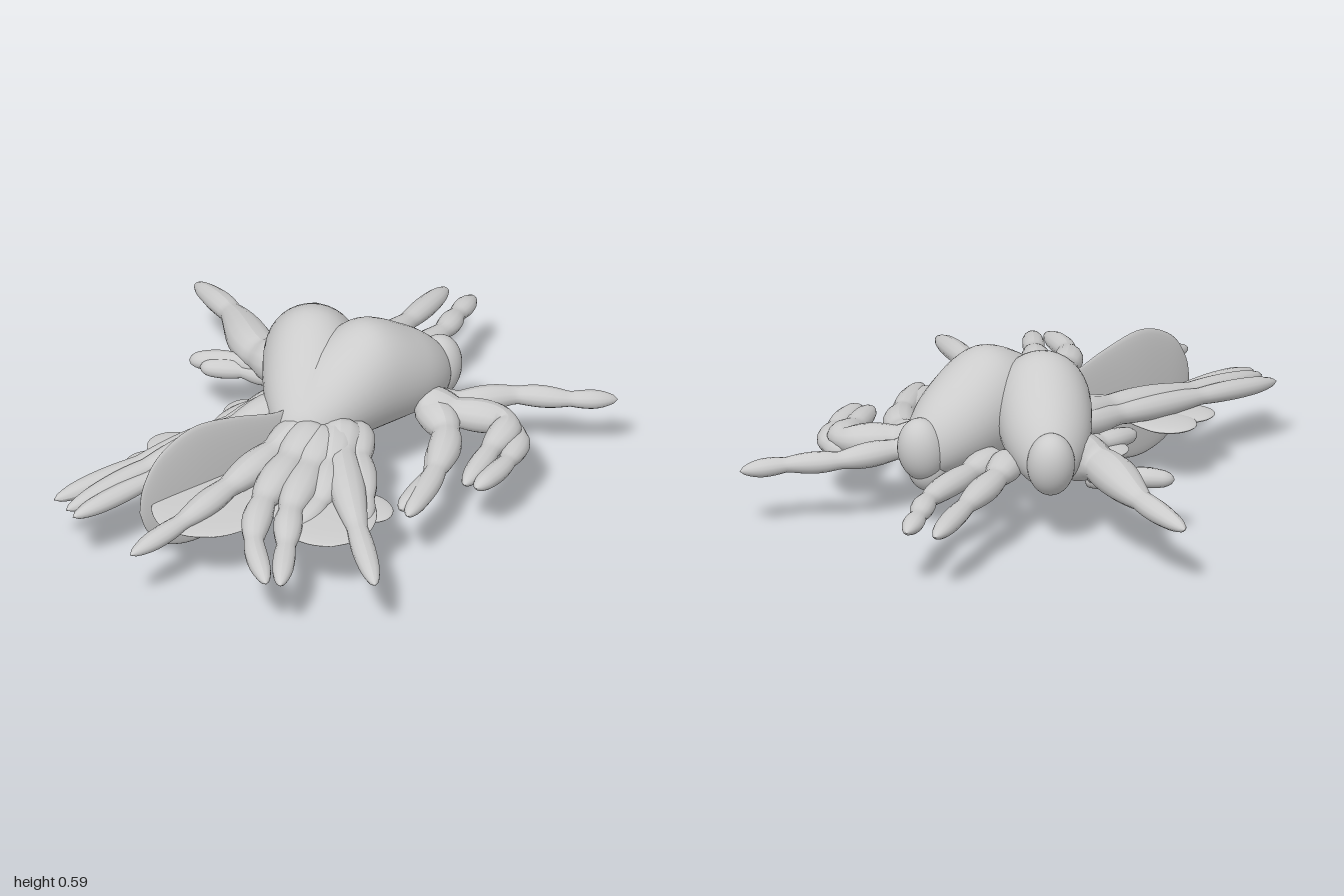
import * as THREE from 'three';

const mat = new THREE.MeshStandardMaterial({ color: 0xcccccc, side: THREE.DoubleSide });

function add(parent, geo, name) {
  const m = new THREE.Mesh(geo, mat);
  m.name = name;
  parent.add(m);
  return m;
}

// Jointed limb through [x, z] points, sinking from rootY to the tip;
// its rings swell between joints and close at both ends
function limb(rootR, rootY, ...pts) {
  const N = 44, R = 14, tipR = 0.038, tipY = 0.22;
  const segs = pts.length - 1;
  const curve = new THREE.CatmullRomCurve3(pts.map(([x, z], i) =>
    new THREE.Vector3(x, rootY + (tipY - rootY) * (i / segs) ** 1.2, z)), false, 'centripetal');
  const g = new THREE.TubeGeometry(curve, N, 1, R, false);
  const pos = g.attributes.position, v = new THREE.Vector3();
  for (let i = 0; i <= N; i++) {
    const u = i / N, c = curve.getPointAt(u);
    const swell = 0.74 + 0.26 * Math.abs(Math.sin(Math.PI * segs * curve.getUtoTmapping(u)));
    const cap = Math.sqrt(1 - Math.max(0, (u - 0.86) / 0.14) ** 2) * Math.min(1, Math.sqrt(u / 0.05));
    const rad = THREE.MathUtils.lerp(rootR, tipR, Math.min(1, u * 1.15)) * swell * cap;
    for (let j = 0; j <= R; j++) {
      const k = i * (R + 1) + j;
      v.fromBufferAttribute(pos, k).sub(c).multiplyScalar(rad);
      v.y *= 0.85;
      v.add(c);
      pos.setXYZ(k, v.x, v.y, v.z);
    }
  }
  g.computeVertexNormals();
  return g;
}

// Teardrop blade of length L and half width w along +x: a turned form flattened to a lens
function blade(L, w, thick) {
  const edge = [[0, 0], [0.01, 0.38], [0.22, 0.48], [0.45, 0.8], [0.67, 1], [0.86, 0.82], [0.965, 0.42], [1, 0]];
  const outline = new THREE.SplineCurve(edge.map(([x, r]) => new THREE.Vector2(r * w, x * L)));
  const profile = outline.getPoints(42).map(p => new THREE.Vector2(Math.max(0, p.x), p.y));
  const g = new THREE.LatheGeometry(profile, 32);
  return g.rotateZ(-Math.PI / 2).scale(1, 1, thick / (2 * w));
}

// Body lofted from ellipses: x, centre y, half height and half width
function bodyGeometry() {
  const N = 60, R = 36, pos = [], idx = [];
  const spline = (...ys) => new THREE.SplineCurve(ys.map((y, i) => new THREE.Vector2(i, y)));
  const x = spline(-0.155, -0.145, -0.1, 0.04, 0.22, 0.4, 0.52, 0.57);
  const mid = spline(0.29, 0.29, 0.305, 0.36, 0.395, 0.355, 0.315, 0.31);
  const high = spline(0, 0.06, 0.105, 0.165, 0.203, 0.16, 0.1, 0);
  const wide = spline(0, 0.07, 0.115, 0.158, 0.168, 0.148, 0.088, 0);
  for (let i = 0; i <= N; i++) {
    const [cx, cy, ry, rz] = [x, mid, high, wide].map(s => s.getPoint(i / N).y);
    for (let j = 0; j < R; j++) {
      const a = (j / R) * Math.PI * 2;
      pos.push(cx, cy + Math.cos(a) * ry, Math.sin(a) * rz);
      if (i < N) {
        const p = i * R + j, q = i * R + (j + 1) % R;
        idx.push(p, q, p + R, q, q + R, p + R);
      }
    }
  }
  const g = new THREE.BufferGeometry();
  g.setAttribute('position', new THREE.Float32BufferAttribute(pos, 3));
  g.setIndex(idx);
  g.computeVertexNormals();
  return g;
}

function ellipsoid(parent, name, [rx, ry, rz], [x, y]) {
  const m = add(parent, new THREE.SphereGeometry(1, 32, 24), name);
  m.scale.set(rx, ry, rz);
  m.position.set(x, y, 0);
  return m;
}

function creature(name) {
  const g = new THREE.Group();
  g.name = name;
  add(g, bodyGeometry(), 'body');
  ellipsoid(g, 'head', [0.085, 0.115, 0.083], [0.532, 0.305]).rotation.z = -0.2;
  return g;
}

export function createModel() {
  const model = new THREE.Group();
  model.name = 'twinCreature';

  // Two bodies joined at the tail
  const front = creature('frontCreature');
  front.position.z = 0.07;
  ellipsoid(front, 'snout', [0.07, 0.085, 0.07], [0.5, 0.232]);
  const rear = creature('rearCreature');
  const turn = THREE.MathUtils.degToRad(50);
  rear.rotation.y = turn;
  rear.position.set(0.13 - 0.23 * Math.cos(turn), 0, -0.12 + 0.23 * Math.sin(turn));
  model.add(front, rear);

  // Jointed legs around the front head
  const frontLegs = [
    limb(0.06, 0.26, [0.36, 0.14], [0.5, 0.23], [0.69, 0.31], [0.83, 0.43], [0.97, 0.52]),
    limb(0.085, 0.27, [0.36, 0.16], [0.44, 0.29], [0.54, 0.44], [0.4, 0.53], [0.2, 0.64]),
    limb(0.05, 0.21, [0.54, 0.4], [0.55, 0.49], [0.42, 0.6], [0.22, 0.68]),
    limb(0.075, 0.26, [0.4, 0.18], [0.34, 0.36], [0.17, 0.52], [-0.08, 0.68]),
    limb(0.045, 0.23, [0.3, 0.38], [0.15, 0.52], [-0.07, 0.63]),
  ];
  frontLegs.forEach((g, i) => add(model, g, 'frontLeg' + (i + 1)));

  // Jointed legs around the rear head
  const rearLegs = [
    limb(0.065, 0.27, [0.3, -0.14], [0.46, -0.22], [0.7, -0.31], [0.96, -0.42]),
    limb(0.06, 0.26, [0.3, -0.07], [0.48, -0.11], [0.75, -0.18], [0.87, -0.25], [1, -0.32]),
    limb(0.105, 0.29, [0.17, -0.28], [0.14, -0.4], [0.25, -0.72], [0.3, -0.98]),
    limb(0.055, 0.24, [0.16, -0.36], [0.08, -0.48], [-0.03, -0.6]),
    limb(0.05, 0.21, [0.15, -0.34], [0.08, -0.44], [-0.03, -0.54]),
    limb(0.06, 0.25, [0.1, -0.16], [-0.08, -0.19], [-0.26, -0.18]),
  ];
  rearLegs.forEach((g, i) => add(model, g, 'rearLeg' + (i + 1)));

  // Long trailing limbs behind the shared tail
  const trailing = [
    limb(0.08, 0.31, [0, -0.05], [-0.25, -0.06], [-0.62, -0.085], [-0.98, -0.08]),
    limb(0.065, 0.29, [0, -0.09], [-0.25, -0.1], [-0.62, -0.13], [-0.97, -0.16]),
    limb(0.06, 0.27, [-0.05, -0.02], [-0.3, -0.04], [-0.65, -0.04], [-0.99, -0.03]),
    limb(0.075, 0.31, [-0.05, 0.1], [-0.25, 0.15], [-0.5, 0.21], [-0.74, 0.26], [-0.99, 0.29]),
    limb(0.085, 0.31, [-0.05, 0.14], [-0.25, 0.24], [-0.46, 0.36], [-0.62, 0.51], [-0.74, 0.73]),
    limb(0.085, 0.3, [-0.03, 0.17], [-0.22, 0.31], [-0.42, 0.46], [-0.55, 0.6], [-0.71, 0.77]),
    limb(0.085, 0.31, [0.03, 0.17], [-0.08, 0.31], [-0.3, 0.68], [-0.45, 0.97]),
    limb(0.09, 0.3, [0, 0.18], [-0.15, 0.34], [-0.3, 0.46], [-0.5, 0.53]),
    limb(0.075, 0.29, [0.07, 0.19], [-0.03, 0.34], [-0.15, 0.53], [-0.27, 0.66]),
  ];
  trailing.forEach((g, i) => add(model, g, 'trailingLimb' + (i + 1)));

  // Upright tail fin
  const fin = add(model, blade(0.79, 0.23, 0.045), 'tailFin');
  fin.position.set(0.01, 0.295, 0.07);
  fin.rotation.z = Math.PI + 0.115;

  // Flat blades from root (x, z) to tip (x, z), with half width and height
  function flatBlade(name, x, z, tipX, tipZ, w, y) {
    const g = blade(Math.hypot(tipX - x, tipZ - z), w, 0.03);
    g.rotateX(-Math.PI / 2).rotateY(Math.atan2(z - tipZ, tipX - x));
    add(model, g, name).position.set(x, y, z);
  }
  flatBlade('tailWing', -0.08, 0.1, -0.79, 0.26, 0.2, 0.225);
  flatBlade('sideWing', -0.06, 0.12, -0.43, 0.7, 0.18, 0.24);
  flatBlade('innerLobe', -0.35, 0.02, -0.45, -0.28, 0.095, 0.215);
  flatBlade('outerLobe', -0.35, -0.02, -0.62, -0.21, 0.085, 0.21);
  flatBlade('rearLobe', 0.05, -0.06, -0.14, -0.27, 0.09, 0.215);
  flatBlade('frontLobe', -0.16, 0.3, -0.14, 0.64, 0.085, 0.21);

  return model;
}
